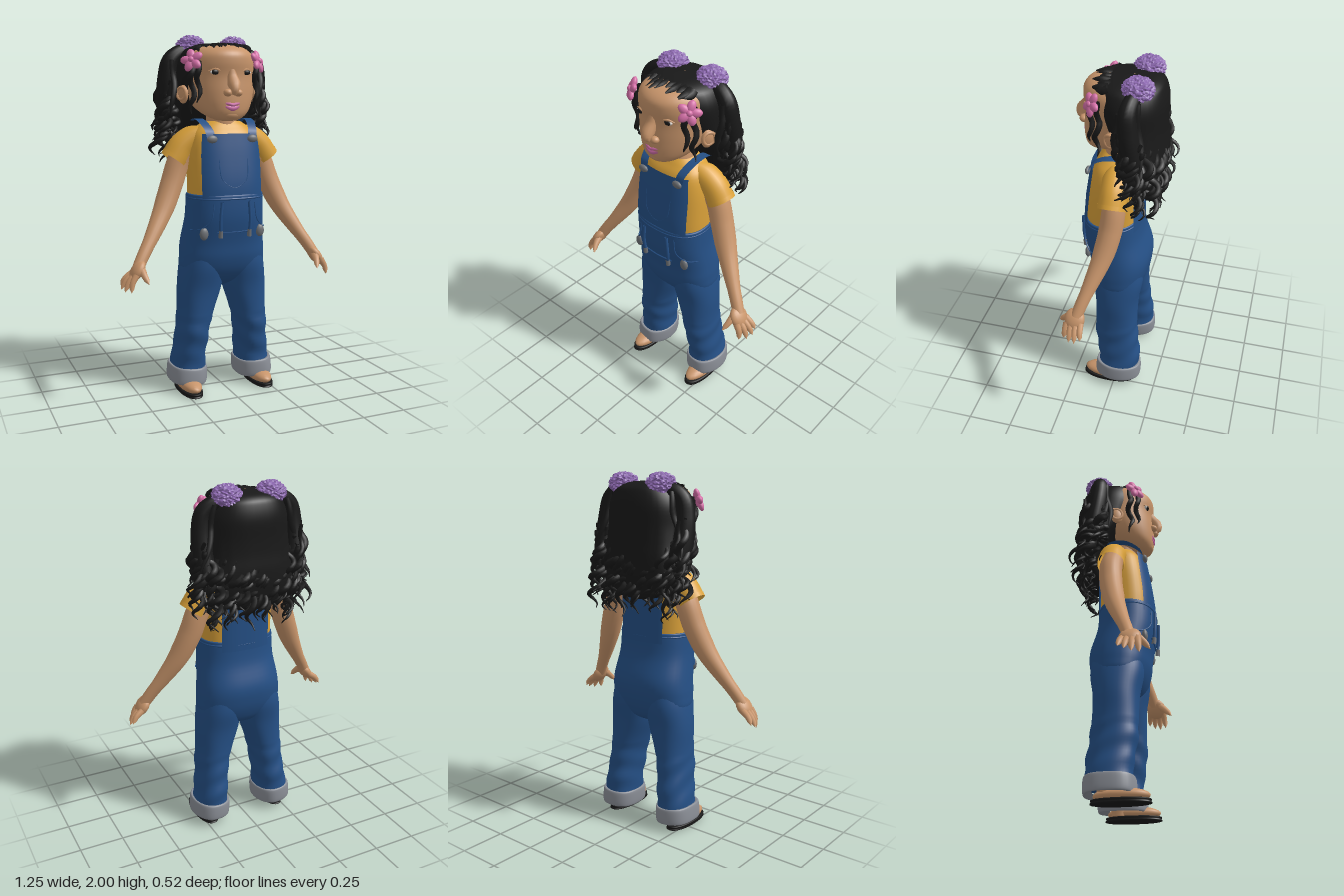
import * as THREE from 'three';

const mat = (name, color, side = THREE.FrontSide) => {
  const m = new THREE.MeshStandardMaterial({ color, side });
  m.name = name;
  return m;
};
const V = (x, y, z) => new THREE.Vector3(x, y, z);

// Stack of rounded cross-sections [y, cx, cz, rx, rz], listed from the bottom up
function loft(rings, { a0 = 0, a1 = Math.PI * 2, p = 2, grow = 0, seg = 40, steps = 5, ripple = () => 0 } = {}) {
  const mid = new THREE.CatmullRomCurve3(rings.map(r => V(r[1], r[0], r[2])), false, 'catmullrom');
  const rad = new THREE.CatmullRomCurve3(rings.map(r => V(r[3] + grow, 0, r[4] + grow)), false, 'catmullrom');
  const closed = a1 - a0 > 6.28, cols = closed ? seg : seg + 1;
  const rows = (rings.length - 1) * steps, pos = [], idx = [];
  const pow = v => Math.sign(v) * Math.abs(v) ** (2 / p);
  for (let j = 0; j <= rows; j++) {
    const c = mid.getPoint(j / rows), r = rad.getPoint(j / rows);
    for (let i = 0; i < cols; i++) {
      const a = a0 + (a1 - a0) * i / seg, k = 1 + ripple(a, c.y);
      pos.push(c.x + r.x * k * pow(Math.sin(a)), c.y, c.z + r.z * k * pow(Math.cos(a)));
    }
  }
  for (let j = 0; j < rows; j++) for (let i = 0; i < seg; i++) {
    const n = (i + 1) % cols, a = j * cols + i, b = j * cols + n;
    idx.push(a, b, b + cols, a, b + cols, a + cols);
  }
  const g = new THREE.BufferGeometry();
  g.setAttribute('position', new THREE.Float32BufferAttribute(pos, 3));
  g.setIndex(idx);
  g.computeVertexNormals();
  return g;
}

// Tube through points with a radius at each point
function limb(pts, radii, seg = 24, sides = 12) {
  const curve = new THREE.CatmullRomCurve3(pts.map(q => V(...q)));
  const g = new THREE.TubeGeometry(curve, seg, 1, sides), P = g.attributes.position, v = V(0, 0, 0);
  for (let i = 0; i < P.count; i++) {
    const u = Math.floor(i / (sides + 1)) / seg, c = curve.getPointAt(u);
    const f = u * (radii.length - 1), k = Math.min(Math.floor(f), radii.length - 2);
    const r = THREE.MathUtils.lerp(radii[k], radii[k + 1], f - k);
    v.fromBufferAttribute(P, i).sub(c).multiplyScalar(r).add(c);
    P.setXYZ(i, v.x, v.y, v.z);
  }
  return g;
}

// Flat band of constant width across x
function ribbon(pts, width) {
  const line = new THREE.CatmullRomCurve3(pts.map(q => V(...q))).getPoints(24);
  const g = new THREE.PlaneGeometry(1, 1, 1, 24), P = g.attributes.position;
  line.forEach((q, i) => [-1, 1].forEach((e, k) => P.setXYZ(i * 2 + k, q.x + e * width / 2, q.y, q.z)));
  g.computeVertexNormals();
  return g;
}

export function createModel() {
  const root = new THREE.Group();
  const blue = mat('denim blue', 0x255086, THREE.DoubleSide), yellow = mat('shirt yellow', 0xdba23a, THREE.DoubleSide);
  const skin = mat('skin', 0xc8956b), black = mat('hair black', 0x191919, THREE.DoubleSide);
  const purple = mat('scrunchie purple', 0x8d69b0), pink = mat('flower pink', 0xd670a8);
  const lip = mat('lip pink', 0xcc6ba6), metal = mat('button grey', 0x6f7276), cuffGrey = mat('cuff grey', 0x8b8f97);
  const white = mat('eye white', 0xd8d2cc);
  const add = (name, geo, m, parent = root) => {
    const mesh = new THREE.Mesh(geo, m);
    mesh.name = name;
    parent.add(mesh);
    return mesh;
  };
  const ball = (name, m, c, r, parent) => {
    const b = add(name, new THREE.SphereGeometry(1, 20, 14), m, parent);
    b.position.set(...c);
    b.scale.set(...r);
    return b;
  };
  let seed = 7;
  const rnd = (a, b) => {
    seed = (seed * 16807) % 2147483647;
    return a + (b - a) * seed / 2147483647;
  };

  // Shirt, bib and back panel share one torso shape
  const torso = [[1.08, 0, .047, .207, .148], [1.2, 0, .045, .208, .146], [1.35, 0, .035, .205, .136], [1.45, 0, .025, .185, .122],
    [1.5, 0, .015, .145, .1], [1.53, 0, .012, .1, .08]];
  add('shirt', loft(torso, { p: 2.5 }), yellow);
  const bibRings = [...torso.slice(0, 3), [1.465, 0, .03, .19, .122]];
  add('bib', loft(bibRings, { p: 2.5, grow: .012, a0: -.85, a1: .85 }), blue);
  add('backPanel', loft([...torso.slice(0, 4), [1.48, 0, .02, .16, .11]], { p: 2.5, grow: .012, a0: Math.PI - .62, a1: Math.PI + .62 }), blue);
  add('bibPocketSeam', limb([[-.085, 1.33, .178], [-.07, 1.22, .196], [0, 1.175, .203], [.07, 1.22, .196], [.085, 1.33, .178]], [.003, .003], 30, 6), blue);

  // Trousers
  add('trouserTop', loft([[.6, 0, 0, .02, .03], [.64, 0, 0, .15, .1], [.7, 0, .005, .238, .14], [.78, 0, .008, .246, .165], [.87, 0, .012, .238, .172],
    [1, 0, .043, .222, .165], [1.11, 0, .05, .217, .161], [1.135, 0, .05, .214, .157], [1.136, 0, .05, .195, .14]], { p: 2.4 }), blue);
  add('waistSeam', loft([[1.108, 0, .05, .215, .16], [1.115, 0, .05, .219, .164], [1.122, 0, .05, .214, .159]], { p: 2.4 }), blue);
  add('flySeam', limb([[-.1, .935, .195], [0, .93, .2], [.1, .935, .195]], [.004, .004], 12, 6), blue);

  for (const s of [1, -1]) {
    const side = new THREE.Group();
    side.name = s > 0 ? 'leftSide' : 'rightSide';
    root.add(side);
    const put = (name, geo, m) => add(name, geo, m, side);
    const mir = pts => pts.map(([x, y, z]) => [s * x, y, z]);

    // Leg with soft folds near the hem
    const folds = (a, y) => y < .42 ? .03 * Math.sin(y * 48 + 3 * Math.sin(a + s)) : 0;
    put('trouserLeg', loft([[.08, s * .204, -.02, .03, .03], [.085, s * .203, -.02, .093, .113], [.2, s * .195, -.022, .092, .123], [.3, s * .183, -.008, .09, .125], [.38, s * .175, 0, .093, .125],
      [.48, s * .158, .003, .104, .122], [.6, s * .137, .004, .124, .126], [.72, s * .122, .005, .125, .145], [.82, s * .115, .008, .11, .14]],
      { ripple: folds, p: 2.2 }), blue);
    const cuff = put('cuff', loft([[-.03, 0, 0, .07, .09], [-.05, 0, 0, .1, .125], [-.035, 0, 0, .109, .137], [.028, 0, -.002, .108, .135],
      [.044, 0, -.002, .1, .126], [.035, 0, -.002, .08, .1]], { p: 2.3, ripple: a => .015 * Math.sin(5 * a) }), cuffGrey);
    cuff.position.set(s * .204, .099, -.018);
    cuff.rotation.z = s * .06;

    // Foot and sole
    ball('foot', skin, [s * .217, .044, .043], [.06, .04, .145], side);
    put('ankle', limb([[s * .21, .03, -.03], [s * .205, .16, -.03]], [.052, .055], 4, 16), skin);
    put('sole', loft([[0, s * .218, .04, .001, .001], [.001, s * .218, .04, .056, .143], [.014, s * .218, .04, .062, .15], [.026, s * .218, .04, .06, .148], [.027, s * .218, .04, .03, .09]], { p: 2.2 }), black);

    // Arm and sleeve
    put('arm', limb(mir([[.17, 1.44, 0], [.245, 1.32, -.01], [.293, 1.19, 0], [.355, 1.05, .03], [.432, .92, .075], [.497, .82, .112], [.53, .765, .13]]),
      [.055, .064, .064, .06, .048, .036, .032], 36, 18), skin);
    put('sleeve', limb(mir([[.1, 1.465, .01], [.17, 1.44, 0], [.23, 1.395, -.005], [.278, 1.325, -.005]]), [.04, .07, .073, .075], 16, 20), yellow);
    put('sleeveHem', limb(mir([[.268, 1.339, -.005], [.281, 1.32, -.005]]), [.077, .076], 2, 20), yellow);

    // Hand: palm, four fingers and thumb
    const palm = ball('palm', skin, [s * .538, .75, .138], [.031, .062, .057], side);
    palm.rotation.z = s * .6;
    [[.617, .668, .088], [.625, .65, .12], [.612, .64, .155], [.585, .642, .19]].forEach((t, i) => {
      const b = [.553, .735, .102 + i * .025];
      put('finger', limb(mir([b, [(b[0] + t[0]) / 2 + .008, (b[1] + t[1]) / 2 + .004, (b[2] + t[2]) / 2], t]), [.019, .018, .016, .014, 0], 14, 8), skin);
    });
    put('thumb', limb(mir([[.525, .77, .15], [.515, .73, .2], [.5, .69, .235]]), [.024, .023, .018, .015, 0], 14, 8), skin);

    // Straps, fasteners and drawstrings
    put('strap', ribbon(mir([[.118, 1.43, .16], [.128, 1.485, .142], [.145, 1.54, .05], [.138, 1.53, -.05], [.1, 1.44, -.115]]), .05), blue);
    ball('strapButton', metal, [s * .118, 1.437, .166], [.03, .021, .014], side);
    ball('hipButton', metal, [s * .167, .925, .165], [.025, .035, .016], side);
    put('drawstring', limb([[s * .08, 1.1, .213], [s * .088, 1, .211], [s * .085, .93, .204]], [.009, .009], 12, 8), blue);
    put('drawstringTip', limb([[s * .085, .945, .207], [s * .085, .905, .203]], [.012, .013], 4, 8), metal);
    put('pocketSeam', limb(mir([[.12, 1.09, .197], [.135, 1, .193], [.185, .95, .155], [.222, .94, .1]]), [.003, .003], 16, 6), blue);
  }

  // Neck and head
  const hx = -.017;
  add('neck', limb([[0, 1.47, .02], [hx, 1.62, .02]], [.09, .075], 6, 24), skin);
  add('head', loft([[1.533, hx, .135, .004, .004], [1.538, hx, .13, .06, .052], [1.57, hx, .092, .12, .112], [1.62, hx, .045, .162, .165], [1.69, hx, .02, .185, .188],
    [1.77, hx, .012, .192, .19], [1.84, hx, .01, .193, .2], [1.89, hx, .007, .178, .195], [1.925, hx, 0, .14, .155], [1.945, hx, -.01, .06, .07], [1.947, hx, -.01, .002, .002]]), skin);

  // Face
  add('noseBridge', limb([[hx, 1.84, .18], [hx, 1.77, .196], [hx, 1.7, .236], [hx, 1.675, .222]], [.01, .026, .036, .012], 16, 14), skin);
  ball('chin', skin, [hx, 1.57, .165], [.06, .033, .04]);
  add('upperLip', limb([[hx - .07, 1.632, .183], [hx - .02, 1.624, .204], [hx, 1.619, .207], [hx + .02, 1.624, .204], [hx + .07, 1.632, .183]], [0, .009, .01, .009, 0], 20, 10), lip);
  add('lowerLip', limb([[hx - .068, 1.629, .183], [hx, 1.6, .2], [hx + .068, 1.629, .183]], [0, .013, .016, .013, 0], 20, 10), lip);
  for (const s of [1, -1]) {
    ball('nostril', skin, [hx + s * .03, 1.683, .21], [.024, .02, .024]);
    ball('eye', white, [hx + s * .089, 1.79, .178], [.029, .012, .011]);
    ball('iris', black, [hx + s * .091, 1.79, .183], [.02, .014, .01]);
    add('eyelid', limb([[hx + s * .05, 1.788, .19], [hx + s * .087, 1.806, .186], [hx + s * .125, 1.794, .166]], [.003, .007, .003], 10, 6), skin);
    const ear = ball('ear', skin, [hx + s * .212, 1.675, .02], [.018, .05, .036]);
    ear.rotation.y = s * -.4;
    const rim = add('earRim', new THREE.TorusGeometry(.033, .009, 8, 20), skin);
    rim.position.set(hx + s * .222, 1.68, .02);
    rim.rotation.y = Math.PI / 2 - s * .4;
  }

  // Hair cap falling into the back mass
  add('hairCap', loft([[1.33, hx, -.15, .03, .02], [1.36, hx, -.15, .17, .05], [1.45, hx, -.15, .225, .075], [1.55, hx, -.125, .23, .105], [1.64, hx, -.09, .228, .135], [1.72, hx, -.065, .226, .16],
    [1.82, hx, -.05, .224, .178], [1.89, hx, -.045, .2, .17], [1.925, hx, -.04, .165, .155], [1.947, hx, -.045, .1, .1], [1.953, hx, -.05, .003, .003]],
    { p: 2.25, ripple: (a, y) => .014 * Math.sin(16 * a) * THREE.MathUtils.smoothstep(-y, -1.86, -1.7) }), black);
  const tufts = [[-.155, .09], [-.12, .11], [-.09, .135], [-.06, .15], [-.03, .14], [.01, .12], [.04, .14], [.075, .11], [.105, .125], [.125, .1]];
  tufts.forEach(([x, z]) => add('fringeTuft', limb([[x, 1.922, .05], [x + .005, 1.93 - x * x, z - .03], [x - .008, 1.922 - x * x, z + .01]], [.024, .022, .006], 8, 6), black));

  // Springy lock hanging from a to b
  const lock = (name, a, b, r, thick, turns) => {
    const ph = rnd(0, 6.28), pts = [];
    for (let i = 0; i <= 14; i++) {
      const t = i / 14, w = ph + t * turns * 6.28, k = r * Math.min(1, t * 3);
      pts.push([a[0] + (b[0] - a[0]) * t + k * Math.cos(w), a[1] + (b[1] - a[1]) * t, a[2] + (b[2] - a[2]) * t + k * Math.sin(w)]);
    }
    add(name, limb(pts, [thick * .8, thick, thick, thick * .8, .002], 40, 6), black);
  };
  for (const s of [1, -1]) {
    const px = x => hx + s * x;
    add('ponytail', limb([[px(.12), 1.9, -.1], [px(.19), 1.905, -.085], [px(.25), 1.86, -.075], [px(.27), 1.77, -.08], [px(.272), 1.65, -.1], [px(.26), 1.52, -.13]],
      [.035, .042, .05, .053, .056, .02], 30, 14), black);
    for (let i = 0; i < 5; i++) lock('ponytailStrand', [px(.21 + i * .012), 1.9 - i * .01, -.12 + i * .022], [px(.3 - i * .01), 1.56, -.15 + i * .035], .012, .017, 1);
    for (let i = 0; i < 18; i++) lock('ponytailCurl', [px(rnd(.24, .3)), rnd(1.58, 1.78), rnd(-.16, -.03)],
      [px(rnd(.22, .345)), rnd(1.3, 1.5), rnd(-.2, -.03)], rnd(.018, .032), rnd(.012, .019), rnd(1.5, 3));
    for (let i = 0; i < 4; i++) lock('lowCurl', [px(.25), 1.5, -.12], [px(rnd(.19, .25)), rnd(1.21, 1.3), rnd(-.17, -.09)], .02, .011, 2.5);
    lock('faceLock', [px(.185), 1.87, .09], [px(.19), 1.57, .1], .012, .017, 2);
    lock('faceLock', [px(.165), 1.85, .135], [px(.168), 1.63, .135], .01, .016, 1.5);

    // Ruffled scrunchie
    const ruff = new THREE.IcosahedronGeometry(1, 9), P = ruff.attributes.position, v = V(0, 0, 0);
    for (let i = 0; i < P.count; i++) {
      v.fromBufferAttribute(P, i);
      const k = .91 + .09 * Math.sin(14 * v.x + 5 * Math.sin(6 * v.z)) * Math.cos(13 * v.z + 4 * Math.sin(7 * v.y));
      P.setXYZ(i, v.x * k * .088, v.y * k * .068, v.z * k * .088);
    }
    ruff.computeVertexNormals();
    add('scrunchie', ruff, purple).position.set(s * .127 - .013, 1.935, -.1);

    // Five-petal flower clip
    const flower = new THREE.Group();
    flower.name = 'flowerClip';
    for (let i = 0; i < 5; i++) {
      const a = i * Math.PI * .4 + .3;
      ball('petal', pink, [.031 * Math.cos(a), .031 * Math.sin(a), 0], [.034, .023, .017], flower).rotation.z = a;
    }
    ball('flowerCentre', pink, [0, 0, .012], [.016, .016, .014], flower);
    flower.position.set(s * .191 - .027, 1.852, .125);
    flower.rotation.set(-.45, s * .7, 0);
    root.add(flower);
  }
  for (let i = 0; i < 34; i++) {
    const x = hx + (i / 33 - .5) * .5;
    lock('backCurl', [x * .9, rnd(1.52, 1.7), -.2 + x * x], [x * 1.1, rnd(1.23, 1.4), rnd(-.235, -.15)], rnd(.018, .034), rnd(.012, .019), rnd(1.5, 3));
  }
  return root;
}
